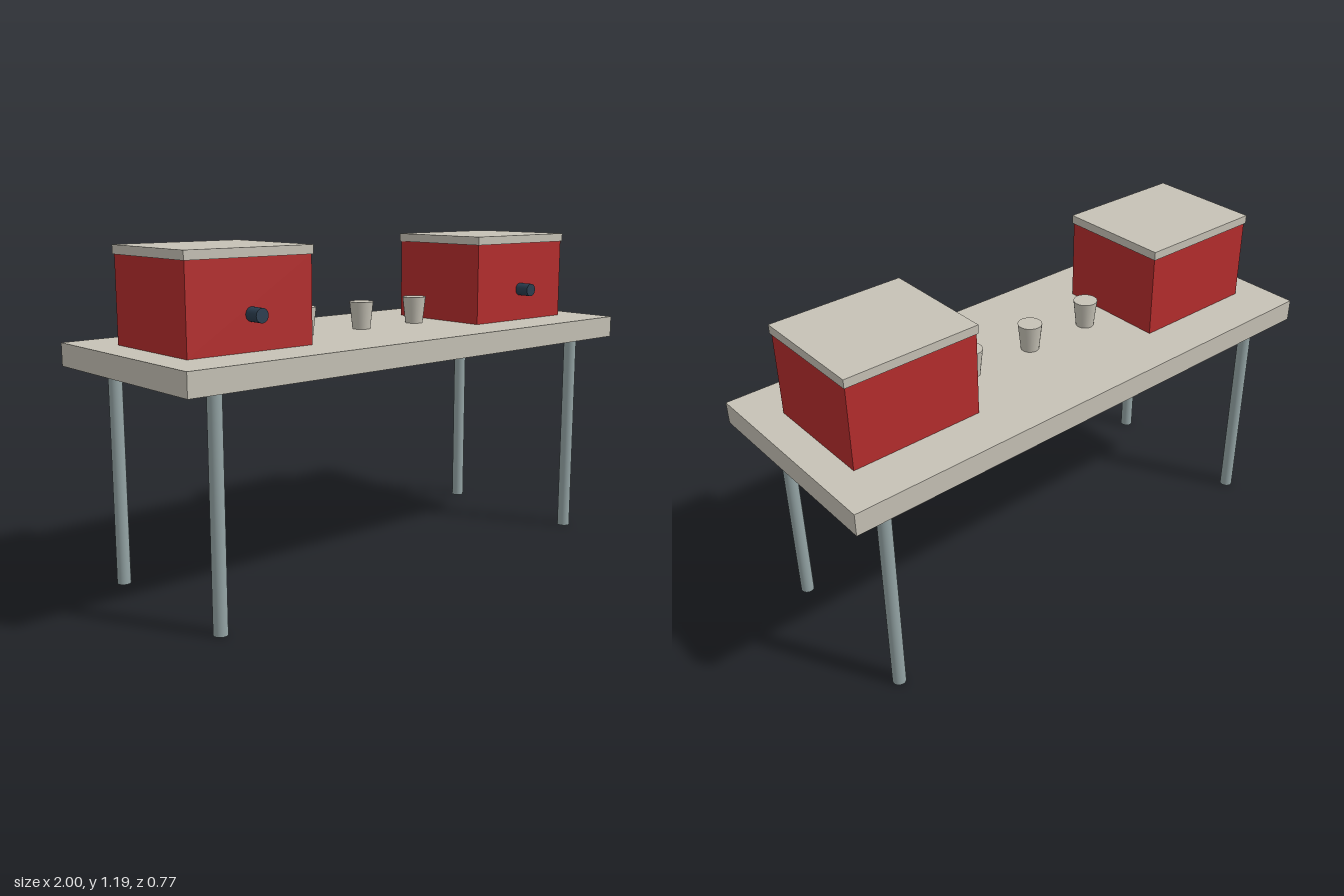
import * as THREE from 'three';

function material(name, color) {
  const m = new THREE.MeshStandardMaterial({ color });
  m.name = name;
  return m;
}

export function createModel() {
  const stone = material('warm grey', 0xc6c2b6);
  const red = material('cooler red', 0xb52d2d);
  const steel = material('leg grey', 0x95a5a6);
  const dark = material('spigot dark blue', 0x2c3e50);

  const model = new THREE.Group();
  model.name = 'drinksTable';

  const add = (parent, name, geometry, mat, x, y, z) => {
    const mesh = new THREE.Mesh(geometry, mat);
    mesh.name = name;
    mesh.position.set(x, y, z);
    parent.add(mesh);
    return mesh;
  };

  // Table slab
  add(model, 'tableTop', new THREE.BoxGeometry(2, 0.08, 0.775), stone, 0, 0.82, 0);

  // Four round legs
  const legGeometry = new THREE.CylinderGeometry(0.024, 0.024, 0.78, 24);
  for (const x of [-0.852, 0.852])
    for (const z of [-0.301, 0.301]) add(model, 'leg', legGeometry, steel, x, 0.39, z);

  // Two drink coolers, each with a lid and a front spigot
  for (const side of [-1, 1]) {
    const cooler = new THREE.Group();
    cooler.name = side > 0 ? 'leftCooler' : 'rightCooler';
    cooler.position.set(side * 0.643, 0.86, 0);
    add(cooler, 'coolerBody', new THREE.BoxGeometry(0.485, 0.298, 0.418), red, 0, 0.149, 0);
    add(cooler, 'coolerLid', new THREE.BoxGeometry(0.494, 0.031, 0.428), stone, 0, 0.3135, 0);
    const spigot = add(cooler, 'spigot', new THREE.CylinderGeometry(0.024, 0.024, 0.056, 24),
      dark, 0, 0.12, 0.237);
    spigot.rotation.x = Math.PI / 2;
    model.add(cooler);
  }

  // Row of tapered cups
  const cupGeometry = new THREE.CylinderGeometry(0.044, 0.033, 0.1, 24);
  for (const x of [-0.27, 0, 0.27]) add(model, 'cup', cupGeometry, stone, x, 0.91, 0);

  return model;
}
